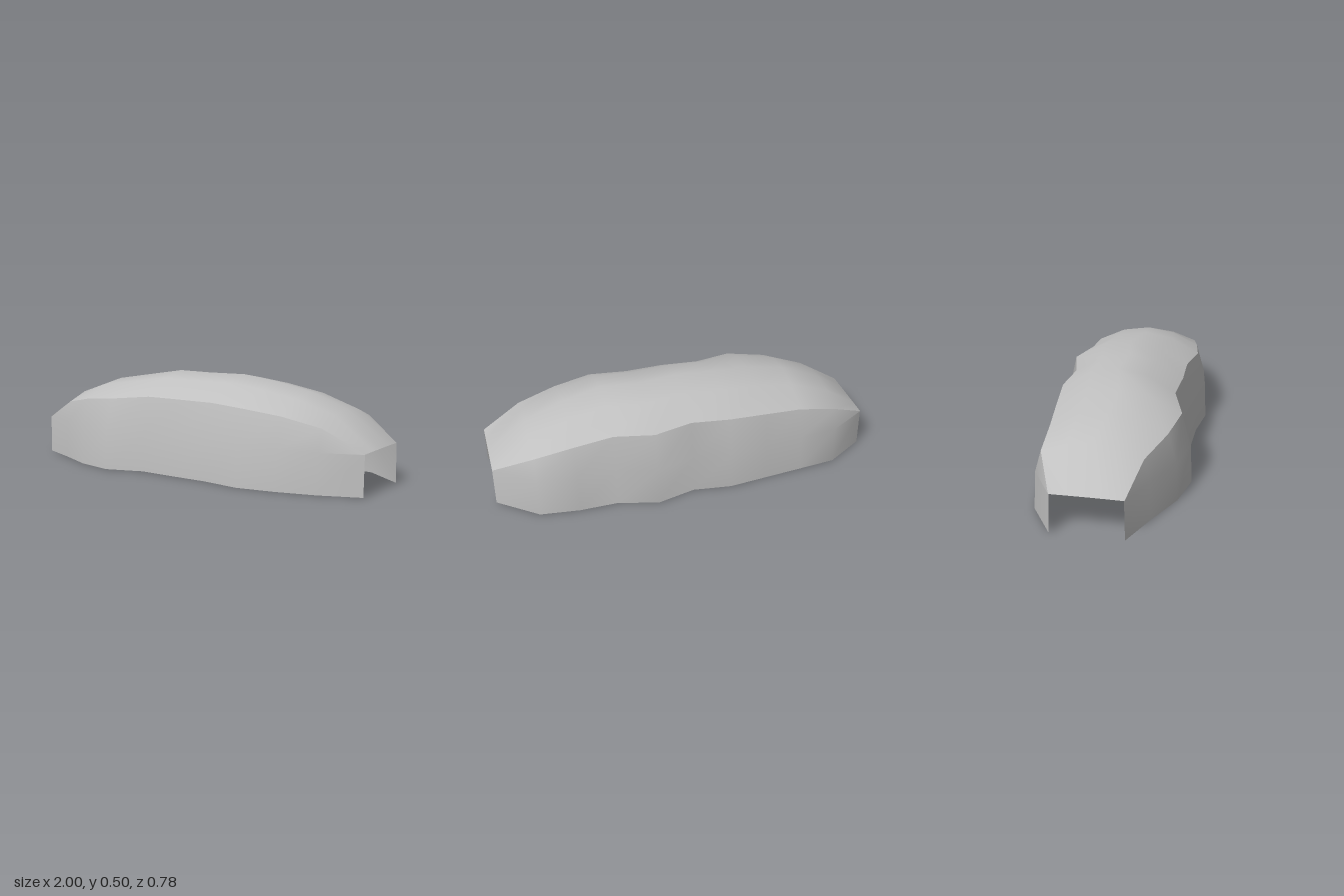
import * as THREE from 'three';

// Stations along x, from -1 to 1 in steps of 0.2
const frontZ = [0.165, 0.25, 0.345, 0.39, 0.325, 0.335, 0.34, 0.37, 0.34, 0.29, 0.213];
const backZ = [-0.187, -0.31, -0.33, -0.35, -0.37, -0.345, -0.395, -0.34, -0.343, -0.32, -0.165];
const frontEaveZ = [0.163, 0.215, 0.295, 0.333, 0.272, 0.285, 0.28, 0.315, 0.287, 0.25, 0.208];
const backEaveZ = [-0.183, -0.268, -0.275, -0.295, -0.313, -0.29, -0.338, -0.285, -0.287, -0.268, -0.159];
const eaveY = [0.202, 0.31, 0.35, 0.37, 0.388, 0.39, 0.388, 0.38, 0.355, 0.31, 0.202];
const crestY = [0.203, 0.37, 0.437, 0.47, 0.502, 0.503, 0.503, 0.487, 0.445, 0.372, 0.203];

// Skin a surface over the stations; section(i) returns [y, z] points
function skin(name, material, section) {
  const positions = [], index = [];
  const count = section(0).length;
  for (let i = 0; i < frontZ.length; i++) {
    for (const [y, z] of section(i)) positions.push(-1 + i * 0.2, y, z);
  }
  for (let i = 0; i < frontZ.length - 1; i++) {
    for (let j = 0; j < count - 1; j++) {
      const a = i * count + j, b = a + count;
      index.push(a, b, b + 1, a, b + 1, a + 1);
    }
  }
  const geometry = new THREE.BufferGeometry();
  geometry.setAttribute('position', new THREE.Float32BufferAttribute(positions, 3));
  geometry.setIndex(index);
  geometry.computeVertexNormals();
  const mesh = new THREE.Mesh(geometry, material);
  mesh.name = name;
  return mesh;
}

export function createModel() {
  const group = new THREE.Group();
  group.name = 'openShell';
  const grey = new THREE.MeshStandardMaterial({ color: 0xc0c0c0, side: THREE.DoubleSide });
  grey.name = 'light grey';

  // Side walls: nearly upright to y = 0.2, then leaning in to the eave
  group.add(skin('frontWall', grey, (i) => [
    [0, frontZ[i]], [0.2, frontZ[i] * 0.975], [eaveY[i], frontEaveZ[i]],
  ]));
  group.add(skin('backWall', grey, (i) => [
    [eaveY[i], backEaveZ[i]], [0.2, backZ[i] * 0.965], [0, backZ[i]],
  ]));

  // Arched roof from the front eave to the back eave, flat at both ends
  group.add(skin('roof', grey, (i) => [1, 0.5, 0, -0.5, -1].map((t) => {
    const middle = (frontEaveZ[i] + backEaveZ[i]) / 2;
    const half = (frontEaveZ[i] - backEaveZ[i]) / 2;
    return [eaveY[i] + (crestY[i] - eaveY[i]) * (1 - t * t), middle + half * t];
  })));
  return group;
}
